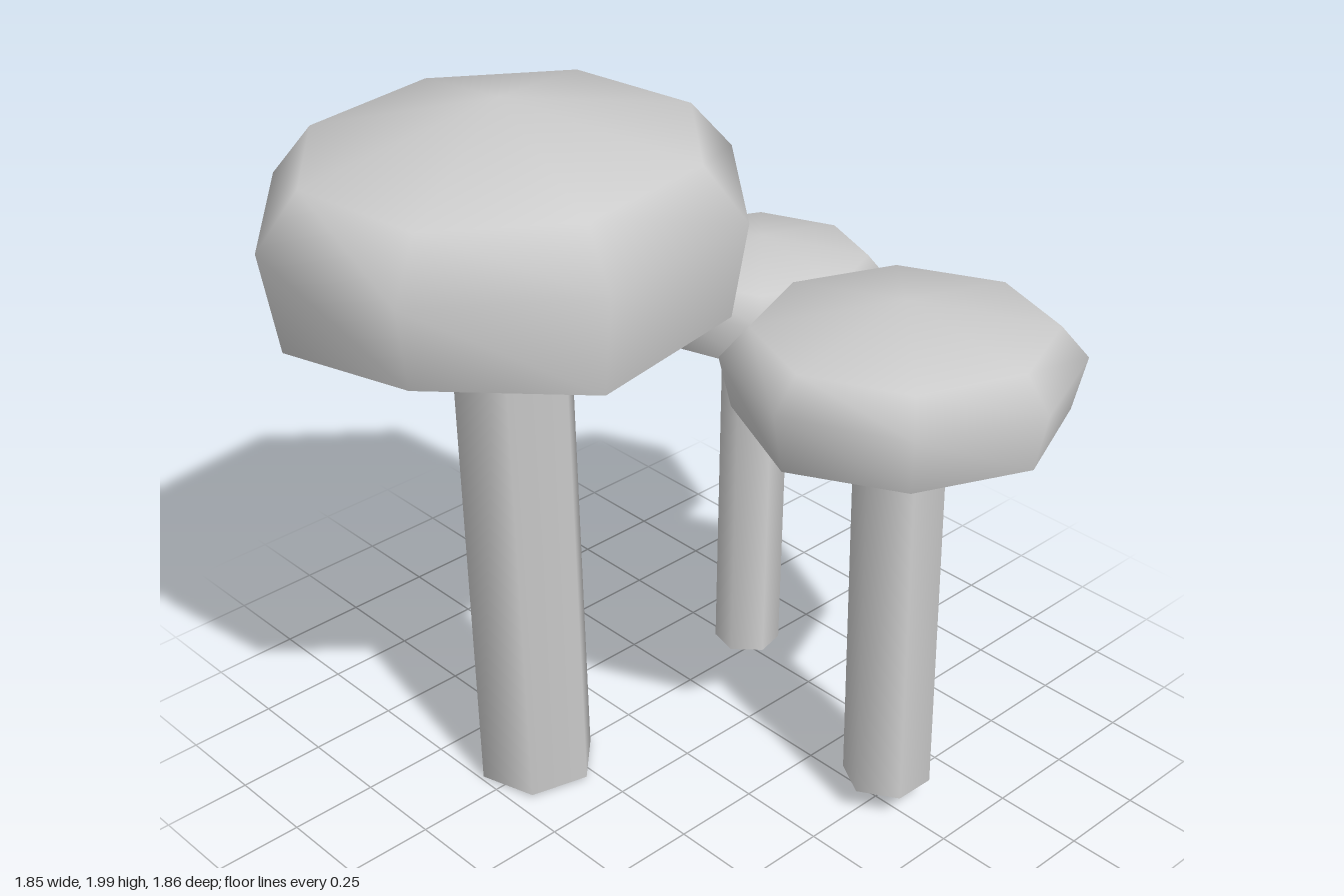
import * as THREE from 'three';

const SIDES = 8;

// Eight-sided smooth cap, open underneath: apex, shoulder, widest ring, uneven rim
function capGeometry({ centre: [cx, cz], apex, rings, rim, phase, slope: [sx, sz] }) {
  const pos = [cx, apex, cz];
  const index = [];
  rings.forEach(([r, y], k) => {
    for (let i = 0; i < SIDES; i++) {
      const a = THREE.MathUtils.degToRad(phase + i * 360 / SIDES);
      const dx = r * Math.cos(a), dz = r * Math.sin(a);
      const h = k === rings.length - 1 ? rim[i] : y + sx * dx + sz * dz;
      pos.push(cx + dx, h, cz + dz);
      const j = (i + 1) % SIDES;
      const p = 1 + k * SIDES;
      if (k === 0) index.push(0, p + j, p + i);
      else {
        const q = p - SIDES;
        index.push(q + i, q + j, p + i, q + j, p + j, p + i);
      }
    }
  });
  const g = new THREE.BufferGeometry();
  g.setAttribute('position', new THREE.Float32BufferAttribute(pos, 3));
  g.setIndex(index);
  g.computeVertexNormals();
  return g;
}

// Open six-sided tube leaning from base to top; phase is the angle of one corner from +x to +z
function stemMesh({ base, top, radius, phase }, material) {
  const a = new THREE.Vector3(...base), b = new THREE.Vector3(...top);
  const dir = b.clone().sub(a);
  const g = new THREE.CylinderGeometry(radius, radius, dir.length(), 6, 1, true);
  g.rotateY(THREE.MathUtils.degToRad(90 - phase));
  const mesh = new THREE.Mesh(g, material);
  mesh.position.copy(a).add(b).multiplyScalar(0.5);
  mesh.quaternion.setFromUnitVectors(new THREE.Vector3(0, 1, 0), dir.normalize());
  return mesh;
}

const MUSHROOMS = [
  {
    name: 'largeMushroom',
    stem: { base: [-0.272, 0.01, 0.33], top: [-0.322, 1.75, 0.325], radius: 0.168, phase: -15 },
    cap: {
      centre: [-0.32, 0.325], apex: 2, phase: 17, slope: [0.025, -0.025],
      rings: [[0.52, 1.875], [0.637, 1.735], [0.595, 1.47]],
      rim: [1.47, 1.5, 1.44, 1.46, 1.47, 1.455, 1.5, 1.5],
    },
  },
  {
    name: 'mediumMushroom',
    stem: { base: [0.51, 0.078, -0.277], top: [0.458, 1.36, -0.315], radius: 0.122, phase: 30 },
    cap: {
      centre: [0.457, -0.315], apex: 1.515, phase: 0, slope: [0.045, 0.025],
      rings: [[0.39, 1.44], [0.465, 1.352], [0.432, 1.2]],
      rim: [1.21, 1.215, 1.195, 1.205, 1.19, 1.2, 1.195, 1.21],
    },
  },
  {
    name: 'smallMushroom',
    stem: { base: [-0.27, 0.034, -0.508], top: [-0.306, 1.23, -0.565], radius: 0.096, phase: 15 },
    cap: {
      centre: [-0.3, -0.57], apex: 1.35, phase: 0, slope: [0.02, 0.04],
      rings: [[0.3, 1.297], [0.36, 1.225], [0.335, 1.11]],
      rim: [1.12, 1.105, 1.12, 1.105, 1.12, 1.11, 1.1, 1.11],
    },
  },
];

export function createModel() {
  const grey = new THREE.MeshStandardMaterial({ color: 0xcccccc, side: THREE.DoubleSide });
  grey.name = 'light grey';
  const model = new THREE.Group();
  model.name = 'mushroomCluster';
  for (const m of MUSHROOMS) {
    const group = new THREE.Group();
    group.name = m.name;
    const stem = stemMesh(m.stem, grey);
    stem.name = 'stem';
    const cap = new THREE.Mesh(capGeometry(m.cap), grey);
    cap.name = 'cap';
    group.add(stem, cap);
    model.add(group);
  }
  return model;
}
